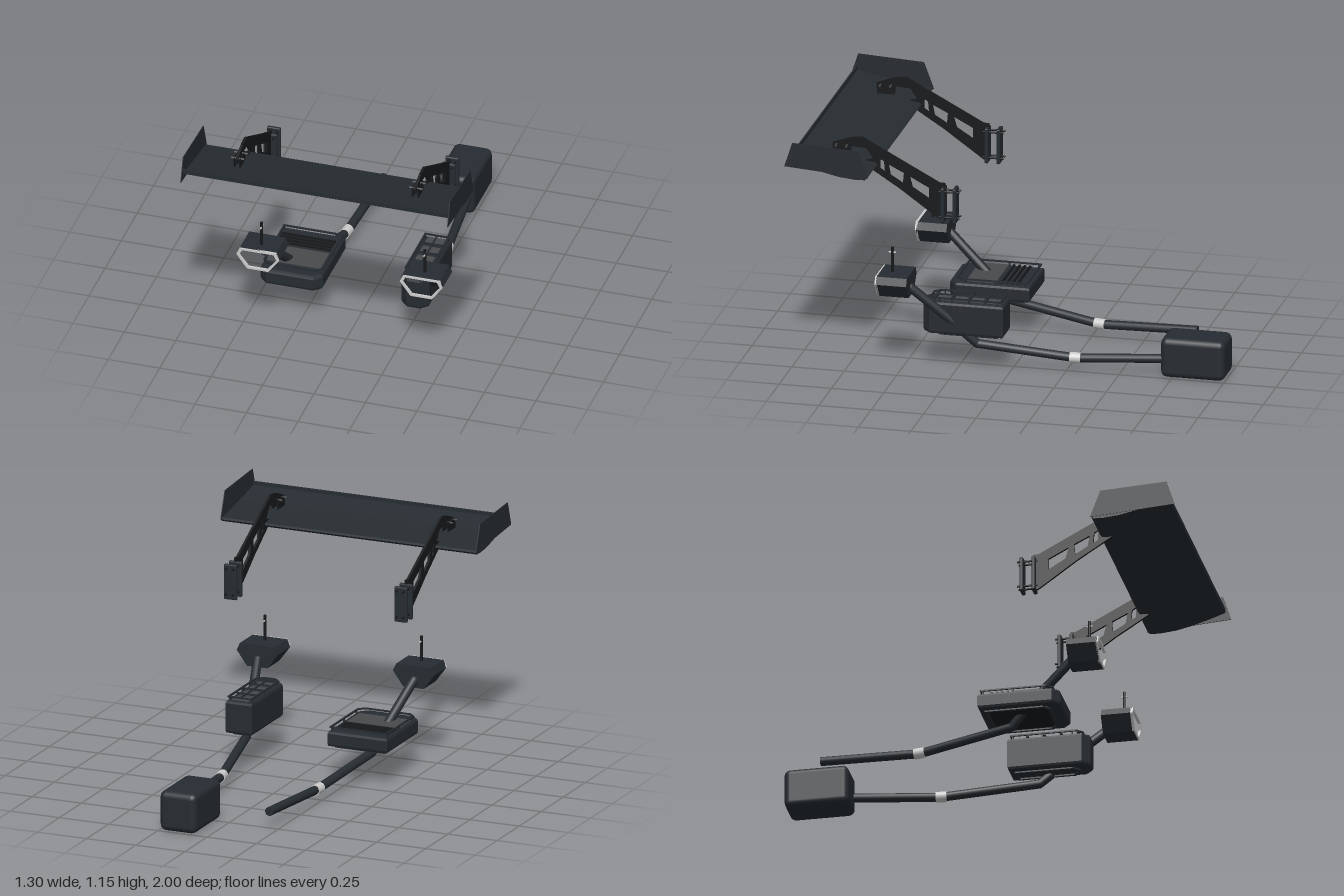
import * as THREE from 'three';
import { RoundedBoxGeometry } from 'three/addons/geometries/RoundedBoxGeometry.js';

const dark = new THREE.MeshStandardMaterial({ color: 0x262c31 });
const black = new THREE.MeshStandardMaterial({ color: 0x17191b });
const panel = new THREE.MeshStandardMaterial({ color: 0x484a4c });
const light = new THREE.MeshStandardMaterial({ color: 0xcccccc });

const V = (x, y, z) => new THREE.Vector3(x, y, z);

function add(parent, name, geo, mat, x = 0, y = 0, z = 0) {
  const m = new THREE.Mesh(geo, mat);
  m.name = name;
  m.position.set(x, y, z);
  parent.add(m);
  return m;
}

const box = (parent, name, mat, w, h, d, x, y, z) =>
  add(parent, name, new THREE.BoxGeometry(w, h, d), mat, x, y, z);

const shapeOf = (pts, Type = THREE.Shape) => new Type(pts.map(p => new THREE.Vector2(...p)));

// Extrude a (z, y) outline along x, centred on x = 0
function sideExtrude(pts, width, holes = []) {
  const s = shapeOf(pts);
  s.holes = holes.map(h => shapeOf(h, THREE.Path));
  return new THREE.ExtrudeGeometry(s, { depth: width, bevelEnabled: false })
    .translate(0, 0, -width / 2).rotateY(-Math.PI / 2);
}

// Round rod between two points
function rod(parent, name, a, b, r, mat, sides = 16) {
  const d = b.clone().sub(a);
  const m = add(parent, name, new THREE.CylinderGeometry(r, r, d.length(), sides), mat);
  m.position.copy(a).addScaledVector(d, 0.5);
  m.quaternion.setFromUnitVectors(V(0, 1, 0), d.normalize());
  return m;
}

// Bent pipe: straight runs with ball elbows
function pipe(parent, name, pts, r) {
  for (let i = 0; i < pts.length - 1; i++) {
    rod(parent, name, pts[i], pts[i + 1], r, dark);
    if (i) add(parent, name + 'Elbow', new THREE.SphereGeometry(r, 16, 12), dark, ...pts[i].toArray());
  }
}

// Outline in plan with the two front corners cut off; shape y is -z
function planOutline(x0, x1, z0, z1, c) {
  return [[x0, -z1 + c], [x0 + c, -z1], [x1 - c, -z1], [x1, -z1 + c], [x1, -z0], [x0, -z0]];
}

function planExtrude(pts, y0, y1, bevel, hole) {
  const s = shapeOf(pts);
  if (hole) s.holes.push(shapeOf(hole, THREE.Path));
  return new THREE.ExtrudeGeometry(s, {
    depth: y1 - y0 - 2 * bevel, bevelEnabled: bevel > 0, bevelSize: bevel,
    bevelThickness: bevel, bevelOffset: -bevel, bevelSegments: 2,
  }).rotateX(-Math.PI / 2).translate(0, y0 + bevel, 0);
}

// Silencer body with thin guard frames above and below
function silencer(parent, name, x0, x1, y0, y1, railY) {
  const g = new THREE.Group();
  g.name = name;
  parent.add(g);
  add(g, 'silencerBody', planExtrude(planOutline(x0, x1, 0.025, 0.412, 0.035), y0, y1, 0.014), dark);
  const frame = (a, w) => planExtrude(planOutline(x0 + a, x1 - a, 0.03 + a, 0.385 - a, 0.03), 0, 0.007, 0,
    planOutline(x0 + a + w, x1 - a - w, 0.03 + a + w, 0.385 - a - w, 0.025));
  add(g, 'topGuard', frame(0.006, 0.008), dark, 0, railY, 0);
  add(g, 'bottomGuard', frame(0.025, 0.012), dark, 0, y0 - 0.009, 0);
  for (const x of [x0 + 0.012, x1 - 0.012])
    for (const z of [0.05, 0.19, 0.33])
      box(g, 'guardPost', dark, 0.007, railY - y1 + 0.014, 0.007, x, (railY + y1) / 2, z);
  return g;
}

// Hexagonal tailpipe housing, open at the front
function tailpipe(parent, side) {
  const g = new THREE.Group();
  g.name = 'tailpipe';
  g.position.set(side * 0.397, 0, 0);
  parent.add(g);
  const hex = [[-0.052, 0.369], [0.052, 0.369], [0.104, 0.44], [0.088, 0.475], [-0.088, 0.475], [-0.104, 0.44]];
  const k = 0.87;
  const inner = hex.map(([x, y]) => [x * k, 0.424 + (y - 0.424) * 0.8]);
  const full = new THREE.ExtrudeGeometry(shapeOf(hex), { depth: 0.145, bevelEnabled: false });
  const shell = new THREE.BufferGeometry();
  const start = full.groups[1].start * 3;
  shell.setAttribute('position', new THREE.BufferAttribute(full.attributes.position.array.slice(start), 3));
  shell.computeVertexNormals();
  add(g, 'housing', shell, dark, 0, 0, 0.455);
  add(g, 'housingBack', new THREE.ShapeGeometry(shapeOf(hex)).rotateY(Math.PI), dark, 0, 0, 0.455);
  const rim = shapeOf(hex);
  rim.holes.push(shapeOf(inner, THREE.Path));
  add(g, 'rim', new THREE.ExtrudeGeometry(rim, { depth: 0.012, bevelEnabled: false }), light, 0, 0, 0.594);
  // hanger
  rod(g, 'hangerRod', V(0, 0.47, 0.545), V(0, 0.596, 0.545), 0.007, black, 10);
  rod(g, 'hangerPin', V(0, 0.57, 0.528), V(0, 0.57, 0.562), 0.004, light, 8);
}

// Wing support with windows, wing clamp and mounting plates
function wingSupport(parent, side) {
  const g = new THREE.Group();
  g.name = 'wingSupport';
  g.position.x = side * 0.433;
  parent.add(g);
  const outline = [[0.285, 0.765], [0.31, 0.765], [0.5, 0.9], [0.69, 1.02], [0.625, 1.035],
    [0.66, 1.085], [0.73, 1.09], [0.82, 1.075], [0.82, 1.1], [0.74, 1.13], [0.68, 1.138], [0.6, 1.095], [0.31, 0.942], [0.285, 0.942]];
  const holes = [
    [[0.36, 0.86], [0.44, 0.91], [0.455, 0.965], [0.36, 0.915]],
    [[0.485, 0.925], [0.545, 0.962], [0.555, 1.015], [0.48, 0.978]],
    [[0.57, 0.975], [0.595, 0.99], [0.595, 1.04], [0.575, 1.028]],
  ];
  add(g, 'strut', sideExtrude(outline, 0.012, holes), black);
  for (const z of [0.292, 0.235]) {
    add(g, 'mountPlate', new RoundedBoxGeometry(0.065, 0.17, 0.018, 2, 0.006), dark, 0, 0.84, z);
  }
  for (const y of [0.78, 0.905])
    for (const x of [-0.018, 0.018])
      rod(g, 'mountBolt', V(x, y, 0.213), V(x, y, 0.31), 0.005, black, 8);
  // clamp on top of the wing
  for (const x of [-0.014, 0.014]) box(g, 'clampPlate', black, 0.006, 0.045, 0.08, x, 1.075, 0.775);
  for (const z of [0.75, 0.8]) rod(g, 'clampBolt', V(-0.032, 1.094, z), V(0.032, 1.094, z), 0.005, panel, 8);
}

export function createModel() {
  const root = new THREE.Group();
  root.name = 'wingAndExhaust';

  // wing blade with a small upright lip on its rear edge
  const blade = [[0.605, 1.012], [0.615, 1.002], [0.66, 1.0], [0.74, 1.008], [0.82, 1.026], [0.9, 1.05], [0.968, 1.074],
    [0.968, 1.08], [0.9, 1.064], [0.82, 1.05], [0.74, 1.038], [0.66, 1.026], [0.615, 1.019]];
  add(root, 'wingBlade', sideExtrude(blade, 1.296), dark);
  box(root, 'wingLip', dark, 1.296, 0.022, 0.008, 0, 1.085, 0.969);
  const plate = [[0.6, 1.012], [0.7, 1.018], [1.0, 1.04], [0.962, 1.157], [0.648, 1.14]];
  for (const side of [1, -1]) {
    add(root, 'endPlate', sideExtrude(plate, 0.004), dark, side * 0.648);
    wingSupport(root, side);
    tailpipe(root, side);

    // exhaust pipes on both sides
    const end = side > 0 ? -0.72 : -0.765;
    pipe(root, 'tailPipeRun', [V(side * 0.4, 0.41, 0.5), V(side * 0.397, 0.405, 0.46), V(side * 0.342, 0.22, 0.25)], 0.022);
    pipe(root, 'frontPipeRun', [V(side * 0.345, 0.205, 0.24), V(side * 0.318, 0.127, 0.16),
      V(side * 0.244, 0.068, -0.29), V(side * 0.21, 0.088, end)], 0.021);
    rod(root, 'pipeClamp', V(side * 0.248, 0.07, -0.265), V(side * 0.242, 0.069, -0.315), 0.025, light, 24);
  }

  // narrow silencer with a ladder top
  const narrow = silencer(root, 'narrowSilencer', 0.231, 0.366, 0.173, 0.333, 0.345);
  for (let i = 0; i < 4; i++) {
    box(narrow, 'topWindow', panel, 0.085, 0.006, 0.066, 0.298, 0.334, 0.075 + i * 0.08);
    box(narrow, 'ladderRung', dark, 0.1, 0.008, 0.01, 0.298, 0.346, 0.115 + i * 0.08);
  }
  box(narrow, 'ladderSpine', dark, 0.006, 0.006, 0.32, 0.298, 0.348, 0.2);

  // wide silencer with ribs and a flat panel
  const wide = silencer(root, 'wideSilencer', -0.455, -0.152, 0.173, 0.25, 0.262);
  for (let i = 0; i < 4; i++)
    box(wide, 'rib', black, 0.26, 0.012, 0.01, -0.31, 0.252, 0.09 + i * 0.025);
  box(wide, 'topPanel', panel, 0.265, 0.006, 0.14, -0.31, 0.251, 0.262);
  box(wide, 'bottomPanel', black, 0.22, 0.004, 0.28, -0.305, 0.173, 0.21);

  // large end silencer
  add(root, 'endSilencer', new RoundedBoxGeometry(0.186, 0.193, 0.305, 3, 0.03), dark, 0.153, 0.1, -0.847);
  return root;
}
